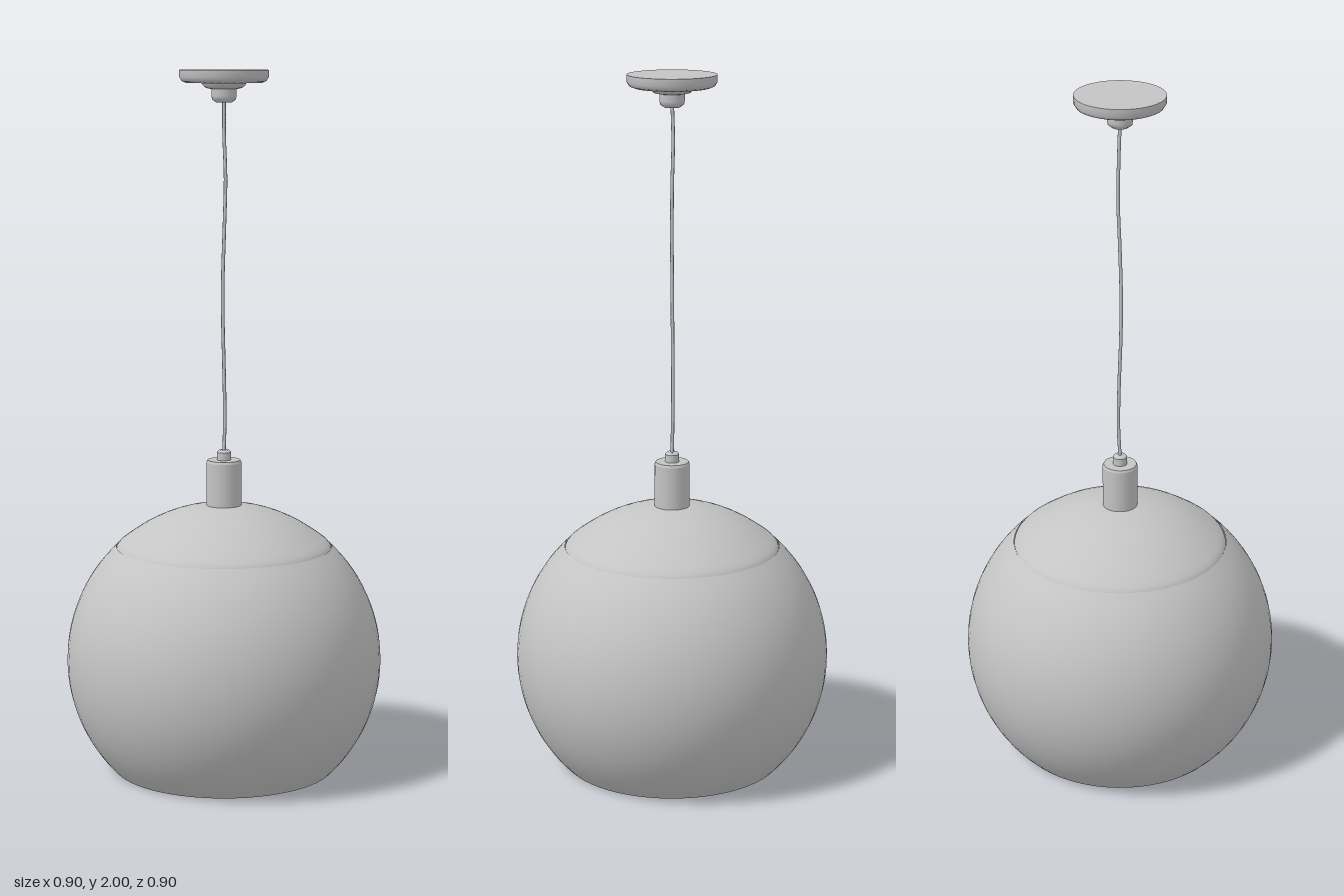
import * as THREE from 'three';

const gray = new THREE.MeshStandardMaterial({ color: 0xc4c4c4, side: THREE.DoubleSide });
gray.name = 'light gray';

// Lathe each profile (listed bottom to top); separate profiles keep a crisp edge between them
function turned(name, segments, ...profiles) {
  const part = new THREE.Group();
  part.name = name;
  for (const profile of profiles) {
    const points = profile.map(([r, y]) => new THREE.Vector2(r, y));
    const mesh = new THREE.Mesh(new THREE.LatheGeometry(points, segments), gray);
    mesh.name = name + 'Surface';
    part.add(mesh);
  }
  return part;
}

// Points on the globe between two heights
const R = 0.452, CY = 0.32;
function globeArc(y0, y1, n) {
  const a0 = Math.asin((y0 - CY) / R), a1 = Math.asin((y1 - CY) / R);
  return Array.from({ length: n + 1 }, (_, i) => {
    const a = a0 + (a1 - a0) * i / n;
    return [R * Math.cos(a), CY + R * Math.sin(a)];
  });
}

export function createModel() {
  const model = new THREE.Group();
  model.name = 'pendantLamp';

  // Open-bottomed globe shade
  model.add(turned('shade', 64, globeArc(0, 0.65, 28)));

  // Domed cap with a rolled edge
  model.add(turned('shadeCap', 64, [
    [0.308, 0.648], [0.305, 0.654], [0.298, 0.662], [0.284, 0.673],
    ...globeArc(0.69, 0.7715, 8),
  ]));

  // Lamp holder and cord grip
  model.add(turned('lampHolder', 32,
    [[0.05, 0.765], [0.05, 0.893]],
    [[0.05, 0.893], [0.047, 0.9]],
    [[0.047, 0.9], [0.02, 0.9]]));
  model.add(turned('cordGrip', 20,
    [[0.02, 0.9], [0.02, 0.922]],
    [[0.02, 0.922], [0.015, 0.928], [0, 0.928]]));

  // Slightly wavy cord
  const cordPoints = [
    [0, 0.92, 0], [0.002, 1.02, -0.004], [0, 1.15, -0.003], [-0.003, 1.3, 0.001],
    [-0.003, 1.42, 0.002], [0.001, 1.56, 0], [0.004, 1.7, -0.004], [0, 1.82, -0.004], [0, 1.93, 0],
  ].map((p) => new THREE.Vector3(...p));
  const cord = new THREE.Mesh(
    new THREE.TubeGeometry(new THREE.CatmullRomCurve3(cordPoints), 48, 0.005, 8), gray);
  cord.name = 'cord';
  model.add(cord);

  // Ceiling canopy: flat top, rounded rim, recessed underside
  model.add(turned('canopy', 32,
    [[0.06, 1.968], [0.075, 1.972], [0.09, 1.966], [0.105, 1.964], [0.118, 1.969], [0.125, 1.98], [0.125, 2]],
    [[0.125, 2], [0, 2]]));

  // Stepped collar and cord outlet under the canopy
  model.add(turned('canopyCollar', 24,
    [[0.034, 1.947], [0.05, 1.95], [0.06, 1.958], [0.063, 1.972]]));
  model.add(turned('cordOutlet', 20,
    [[0, 1.91], [0.022, 1.91]],
    [[0.022, 1.91], [0.033, 1.918], [0.035, 1.928], [0.035, 1.95]]));

  return model;
}
